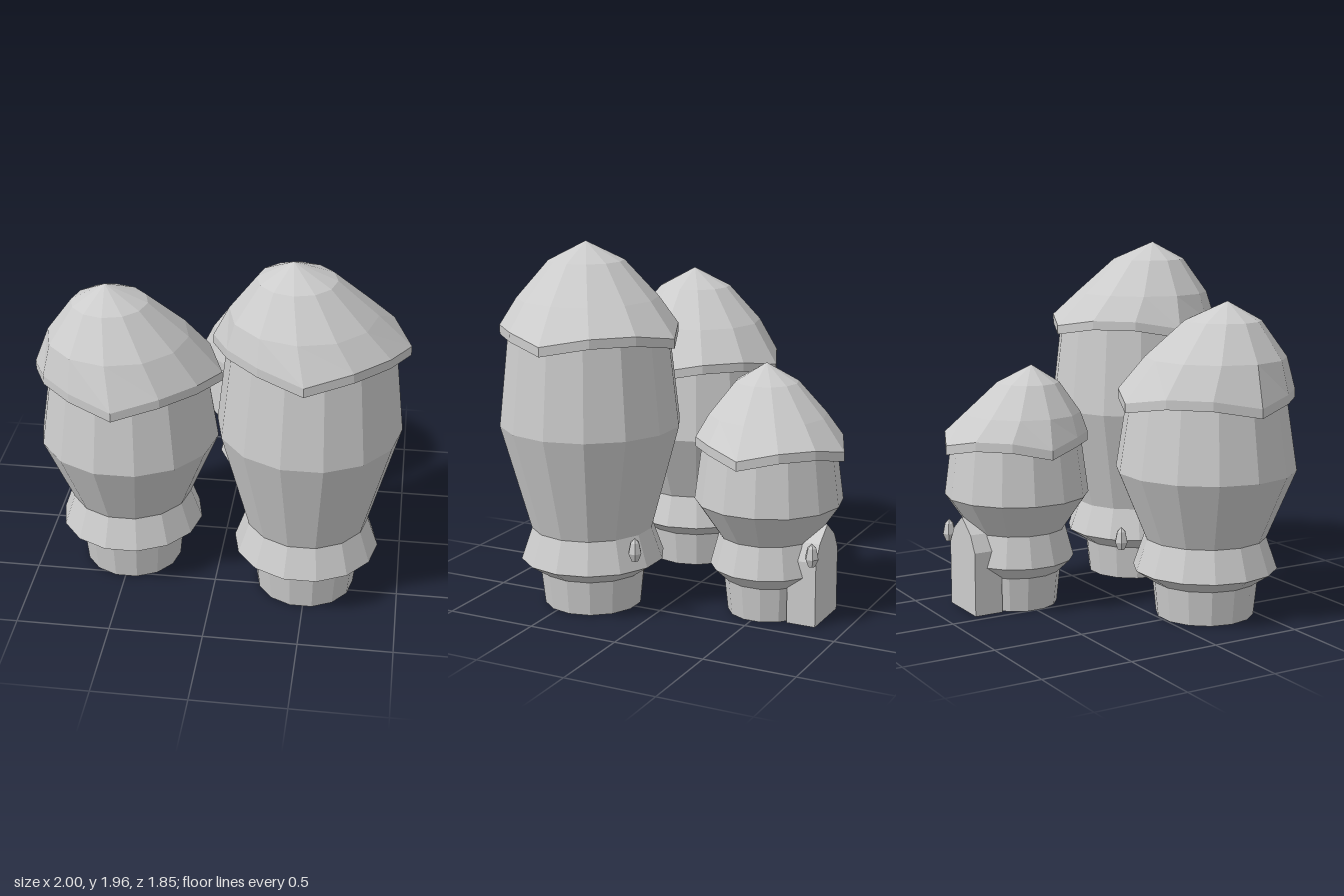
import * as THREE from 'three';

const stone = new THREE.MeshStandardMaterial({ color: 0xcccccc });
stone.name = 'pale grey';
stone.flatShading = true;
stone.side = THREE.DoubleSide;

const lathe = (points, sides) =>
  new THREE.LatheGeometry(points.map(([r, y]) => new THREE.Vector2(r, y)), sides);

function part(name, geometry, parent) {
  const mesh = new THREE.Mesh(geometry, stone);
  mesh.name = name;
  parent.add(mesh);
  return mesh;
}

// Cap with a drooping rim: every third corner hangs lower and further out,
// and the upper rings lean towards the shifted tip.
function roofGeometry(R, eave, tip, t1, t2, lean) {
  const top = eave + 0.05, h = tip - top;
  const profile = [
    [R * 0.83, eave + 0.045, 0],
    [R, eave, 0],
    [R, top, 0],
    [R * 0.745, top + h * t2, 0.45],
    [R * 0.4, top + h * t1, 0.8],
    [0, tip, 1],
  ];
  const geo = lathe(profile, 12);
  const pos = geo.attributes.position;
  for (let i = 0; i < pos.count; i++) {
    const ring = i % profile.length;
    const corner = Math.floor(i / profile.length) % 3 === 0;
    const rim = ring === 1 || ring === 2;
    const s = rim && !corner ? 0.93 : 1;
    const shift = profile[ring][2];
    pos.setXYZ(i,
      pos.getX(i) * s + lean[0] * shift,
      pos.getY(i) + (rim && !corner ? 0.042 : 0),
      pos.getZ(i) * s + lean[1] * shift);
  }
  geo.computeVertexNormals();
  return geo;
}

// Small hanging lantern
function lanternGeometry() {
  return lathe([[0, 0.343], [0.02, 0.346], [0.038, 0.388], [0.025, 0.445], [0, 0.47]], 6);
}

// Door porch with a pointed arch
function doorGeometry() {
  const shape = new THREE.Shape();
  [[-0.155, 0], [0.155, 0], [0.155, 0.35], [0.105, 0.44], [0, 0.52], [-0.105, 0.44], [-0.155, 0.35]]
    .forEach(([x, y], i) => (i ? shape.lineTo(x, y) : shape.moveTo(x, y)));
  shape.closePath();
  return new THREE.ExtrudeGeometry(shape, { depth: 0.16, bevelEnabled: false });
}

const towers = [
  { name: 'rightTower', at: [-0.495, 0.27], body: [0.265, 0.285, 0.39, 0.33, 0.485, 0.425],
    belly: 0.8, eave: 1.14, tip: 1.7, R: 0.505, t1: 0.8, t2: 0.42, lean: [-0.097, 0.06],
    turn: Math.PI / 2, lantern: [0.245, -0.38] },
  { name: 'leftTower', at: [0.49, 0.415], body: [0.265, 0.285, 0.39, 0.33, 0.485, 0.43],
    belly: 1.0, eave: 1.44, tip: 1.955, R: 0.505, t1: 0.79, t2: 0.38, lean: [-0.097, 0.07],
    turn: Math.PI / 2, lantern: [0.23, -0.385] },
  { name: 'backTower', at: [0.21, -0.505], body: [0.215, 0.235, 0.31, 0.265, 0.395, 0.355],
    belly: 0.62, eave: 0.87, tip: 1.335, R: 0.42, t1: 0.77, t2: 0.37, lean: [-0.08, 0.055],
    turn: 0, lantern: [0.19, -0.325], door: true },
];

export function createModel() {
  const model = new THREE.Group();
  model.name = 'mushroomTowers';

  for (const t of towers) {
    const tower = new THREE.Group();
    tower.name = t.name;
    tower.position.set(t.at[0], 0, t.at[1]);
    model.add(tower);

    // Hollow body: foot, flared skirt, swelling belly
    const heights = [0, 0.19, 0.26, 0.43, t.belly, t.eave + 0.05];
    const body = part('body', lathe(t.body.map((r, i) => [r, heights[i]]), 14), tower);
    body.rotation.y = t.turn;

    part('roof', roofGeometry(t.R, t.eave, t.tip, t.t1, t.t2, t.lean), tower);

    const lantern = part('lantern', lanternGeometry(), tower);
    lantern.position.set(t.lantern[0], 0, t.lantern[1]);

    if (t.door) part('door', doorGeometry(), tower).position.z = -0.335;
  }
  return model;
}
